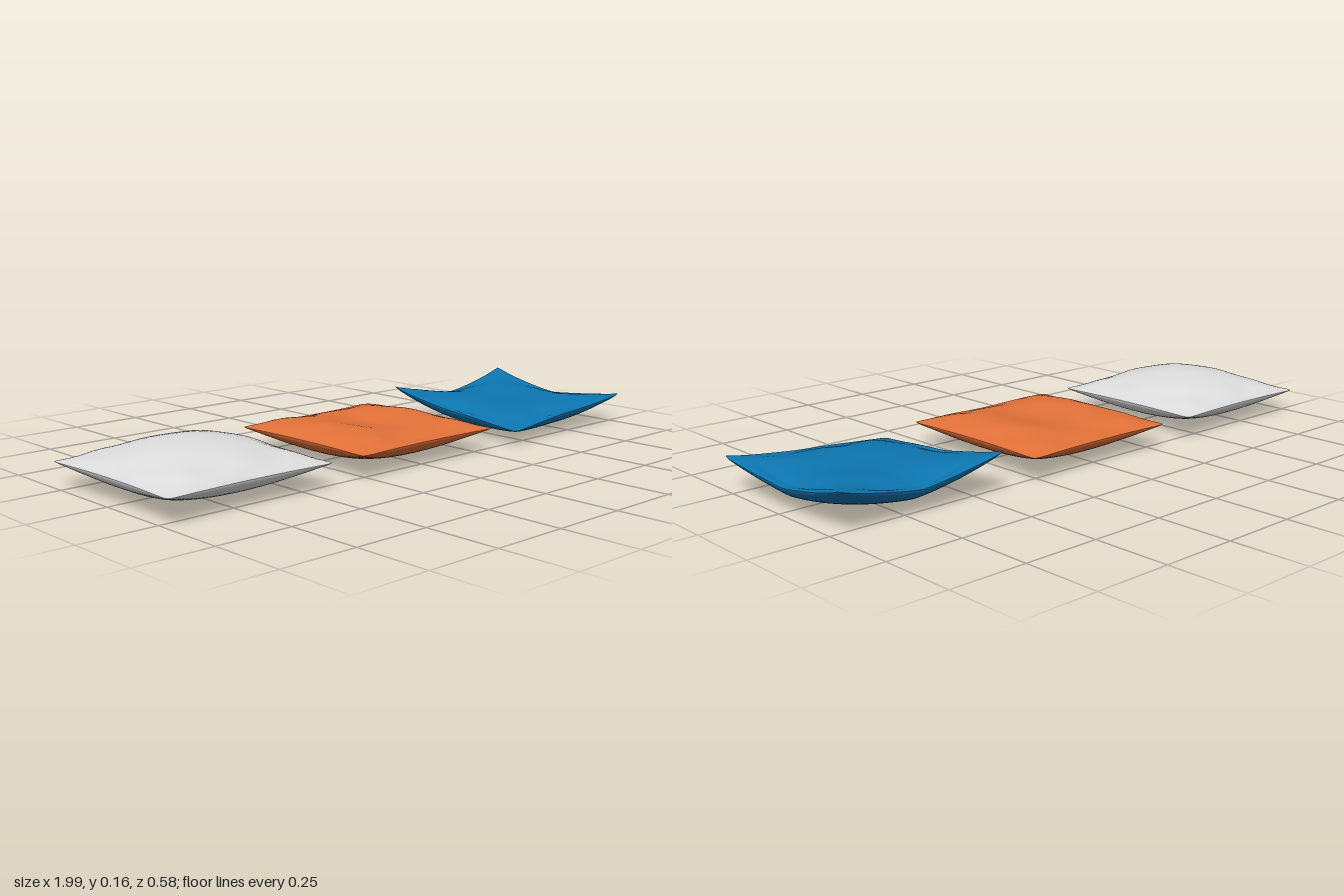
import * as THREE from 'three';

const HALF = 0.295, SEAM = 0.083, N = 44;

// One face of a cushion (side = 1 top, -1 bottom), as a grid puffed out from the seam
function cushionFace(side, height) {
  const geo = new THREE.PlaneGeometry(2, 2, N, N);
  geo.rotateX(-side * Math.PI / 2);
  const p = geo.attributes.position;
  for (let i = 0; i < p.count; i++) {
    // rows crowd together towards the seam
    const u = Math.sin(p.getX(i) * Math.PI / 2);
    const v = Math.sin(p.getZ(i) * Math.PI / 2);
    // edges pull inwards between the corners, corner tips are rounded
    const round = 1 - 0.022 * Math.pow(Math.abs(u * v), 24);
    const x = HALF * u * (1 - 0.045 * (1 - v * v)) * round;
    const z = HALF * v * (1 - 0.045 * (1 - u * u)) * round;
    p.setXYZ(i, x, height(u, v, side), z);
  }
  geo.computeVertexNormals();
  return geo;
}

// Height of the plain puffed cushion above or below its seam
function puff(u, v, side) {
  const b = Math.max(0, (1 - u * u) * (1 - v * v));
  if (side < 0) return -0.08 * Math.pow(b, 0.55);
  // soft folds near the seam
  const fold = 0.004 * Math.sin(9 * u + 1) * Math.sin(8 * v + 2) * Math.min(1, b * 4) * (u * u + v * v);
  return 0.079 * Math.pow(b, 0.78) + fold;
}

// Soft hollow pressed into the top
const dent = (u, v, side, depth, su, sv) =>
  side > 0 ? depth * Math.exp(-u * u / su - v * v / sv) * Math.min(1, 6 * (1 - u * u) * (1 - v * v)) : 0;

// Lift of each corner of the curled cushion: [x sign, z sign, lift]
const CORNERS = [[1, 1, 0.027], [1, -1, 0.054], [-1, 1, -0.03], [-1, -1, 0.05]];
function curl(u, v) {
  let lift = 0;
  for (const [sx, sz, h] of CORNERS) {
    lift += h * Math.pow(Math.max(0, sx * u), 1.25) * Math.pow(Math.max(0, sz * v), 1.25);
  }
  return lift - 0.006 * (u * u + v * v) * (1 - u * u * v * v);
}

const CUSHIONS = [
  { name: 'greyCushion', color: 0xdcdcdc, x: -0.705, height: (u, v, s) => SEAM + puff(u, v, s) },
  { name: 'orangeCushion', color: 0xe27139, x: 0,
    height: (u, v, s) => SEAM + puff(u, v, s) - dent(u, v, s, 0.063, 0.3, 0.6) },
  { name: 'blueCushion', color: 0x0c76b0, x: 0.705,
    height: (u, v, s) => SEAM + curl(u, v) + puff(u, v, s) - dent(u, v, s, 0.066, 0.7, 0.7) },
];

export function createModel() {
  const model = new THREE.Group();
  model.name = 'cushionSet';
  for (const { name, color, x, height } of CUSHIONS) {
    const material = new THREE.MeshStandardMaterial({ color });
    material.name = name.replace('Cushion', 'Fabric');
    const cushion = new THREE.Group();
    cushion.name = name;
    cushion.position.x = x;
    for (const side of [1, -1]) {
      const face = new THREE.Mesh(cushionFace(side, height), material);
      face.name = side > 0 ? 'cushionTop' : 'cushionBottom';
      cushion.add(face);
    }
    model.add(cushion);
  }
  return model;
}
